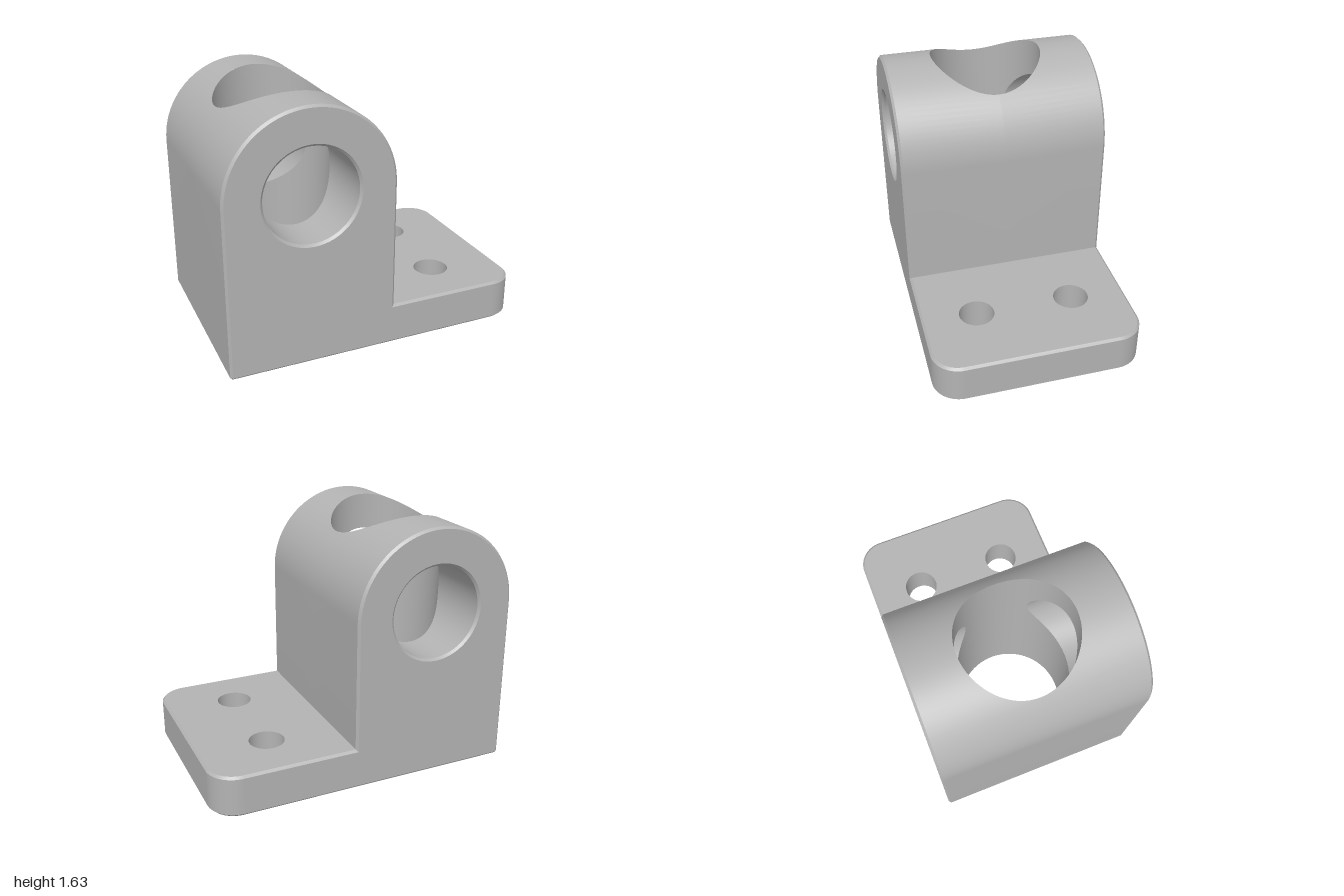
import * as THREE from 'three';
import { mergeGeometries, toCreasedNormals } from 'three/addons/utils/BufferGeometryUtils.js';

// Main dimensions
const W = 0.68, C = 0.015;                 // half depth, edge chamfer
const CX = -0.46, CY = 1.095, R = 0.54;    // arch centre and radius
const PIN = 0.3, BORE = 0.365;             // horizontal and vertical bore radii
const BASE = 0.27, XR = CX + R;            // base height, inner face of upright
const K = 0.18, XK = 1 - K, ZK = W - K;    // rounded base corners
const SCREW = 0.115, SX = 0.54, SZ = 0.32; // screw holes
const N = 64;

const range = (n, f) => Array.from({ length: n + 1 }, (_, i) => f(i / n));
const half = (q, r) => Math.sqrt(Math.max(0, r * r - q * q));
const circle = (x, y, r, n = 2 * N) =>
  range(n, (u) => [x + r * Math.cos(u * 2 * Math.PI), y + r * Math.sin(u * 2 * Math.PI)]);

// Ruled surface between two rails; it faces along x across
function strip(a, b) {
  const n = a.length, index = [];
  for (let i = 0; i < n - 1; i++) index.push(i, i + 1, n + i + 1, i, n + i + 1, n + i);
  const g = new THREE.BufferGeometry();
  g.setAttribute('position', new THREE.Float32BufferAttribute([...a, ...b].flat(), 3));
  g.setIndex(index);
  return g;
}

// The geometry together with its mirror image in z
function both(g) {
  const m = g.clone().scale(1, 1, -1), id = m.index.array;
  for (let i = 0; i < id.length; i += 3) [id[i], id[i + 1]] = [id[i + 1], id[i]];
  return [g, m];
}

// Flat face with holes
function face(outline, holes) {
  const v = (p) => p.map(([x, y]) => new THREE.Vector2(x, y));
  const s = new THREE.Shape(v(outline));
  s.holes = holes.map((h) => new THREE.Path(v(h.slice(0, -1))));
  return new THREE.ShapeGeometry(s);
}

// Half-circle angles on radius `big`, matched to a crossing cylinder of radius `small`
function crossingAngles(big, small) {
  const t0 = Math.acos(small / big);
  const lead = range(12, (u) => u * t0).slice(0, -1);
  const mid = range(N, (u) => Math.acos((small * Math.cos(u * Math.PI)) / big));
  return [...lead, ...mid, ...lead.map((t) => Math.PI - t).reverse()];
}

// Upright outline from the inner corner, over the arch, down to the bottom
const archAngles = crossingAngles(R, BORE);
const uprightPath = (d) => [
  [XR - d, BASE - d],
  ...archAngles.map((t) => [CX + (R - d) * Math.cos(t), CY + (R - d) * Math.sin(t)]),
  [-1 + d, C],
];

// Rounded end of the base in plan (x, z)
const roundEnd = (d) => [-1, 1].flatMap((s) => range(16, (u) => {
  const t = (u + (s < 0 ? -1 : 0)) * Math.PI / 2;
  return [XK + (K - d) * Math.cos(t), s * ZK + (K - d) * Math.sin(t)];
}));
const rim = (d, x0) => [[x0, -(W - d)], ...roundEnd(d), [x0, W - d]];

const atY = (p, y) => p.map(([x, z]) => [x, y, z]);
const atZ = (p, z) => p.map(([x, y]) => [x, y, z]);
const atSaddle = (p) => p.map(([x, y]) => [x, y, half(x - CX, BORE)]);

export function createModel() {
  const group = new THREE.Group();
  const grey = new THREE.MeshStandardMaterial({ color: 0xb3b3b3 });
  grey.name = 'machined grey';

  function add(name, parts) {
    parts.forEach((g) => { g.deleteAttribute('uv'); g.deleteAttribute('normal'); });
    const mesh = new THREE.Mesh(toCreasedNormals(mergeGeometries(parts), 0.4), grey);
    mesh.name = name;
    group.add(mesh);
  }

  // Front and back faces
  const end = face([[XK, BASE - C], ...uprightPath(C), [XK, C]], [circle(CX, CY, PIN + C)]);
  add('endFaces', both(end.translate(0, 0, W)));

  // Sides and arch of the upright, cut by the vertical bore
  const upright = uprightPath(0);
  add('uprightShell', both(strip(atSaddle(upright), atZ(upright, W - C))));
  add('uprightChamfer', both(strip(atZ(upright, W - C), atZ(uprightPath(C), W))));

  // Horizontal bore with chamfered mouths
  const pin = circle(CX, CY, PIN);
  add('pinBore', [
    ...both(strip(atZ(pin, W - C), atSaddle(pin))),
    ...both(strip(atZ(circle(CX, CY, PIN + C), W), atZ(pin, W - C))),
  ]);

  // Vertical bore, opened where the horizontal bore crosses it
  const wall = (y) => crossingAngles(BORE, PIN).map((t) => {
    const dx = BORE * Math.cos(t);
    return [CX + dx, y(dx), BORE * Math.sin(t)];
  });
  add('verticalBore', [
    ...both(strip(wall(() => C), wall((dx) => CY - half(dx, PIN)))),
    ...both(strip(wall((dx) => CY + half(dx, PIN)), wall((dx) => CY + half(dx, R)))),
    strip(atY(circle(CX, 0, BORE + C), 0), atY(circle(CX, 0, BORE), C)),
  ]);

  // Base plate: top, rounded end wall and chamfers
  const screws = [-SZ, SZ].map((z) => circle(SX, z, SCREW, 48));
  add('baseTop', [face(rim(C, XR), screws).rotateX(-Math.PI / 2).translate(0, BASE, 0)]);
  add('baseEndWall', [strip(atY(roundEnd(0), BASE - C), atY(roundEnd(0), C))]);
  add('baseTopChamfer', [strip(atY(rim(C, XR), BASE), atY(rim(0, XR - C), BASE - C))]);
  add('screwHoles', screws.map((s) => strip(atY(s, 0), atY(s, BASE))));

  // Underside and its chamfer
  const inner = rim(C, -1 + C), outer = rim(0, -1 + C);
  add('underside', [face(inner, [...screws, circle(CX, 0, BORE + C)]).rotateX(Math.PI / 2)]);
  const zi = W - C;
  add('undersideChamfer', [strip(
    atY([...outer, [-1, zi], [-1, -zi], outer[0]], C),
    atY([...inner, [-1 + C, zi], [-1 + C, -zi], inner[0]], 0),
  )]);

  return group;
}
